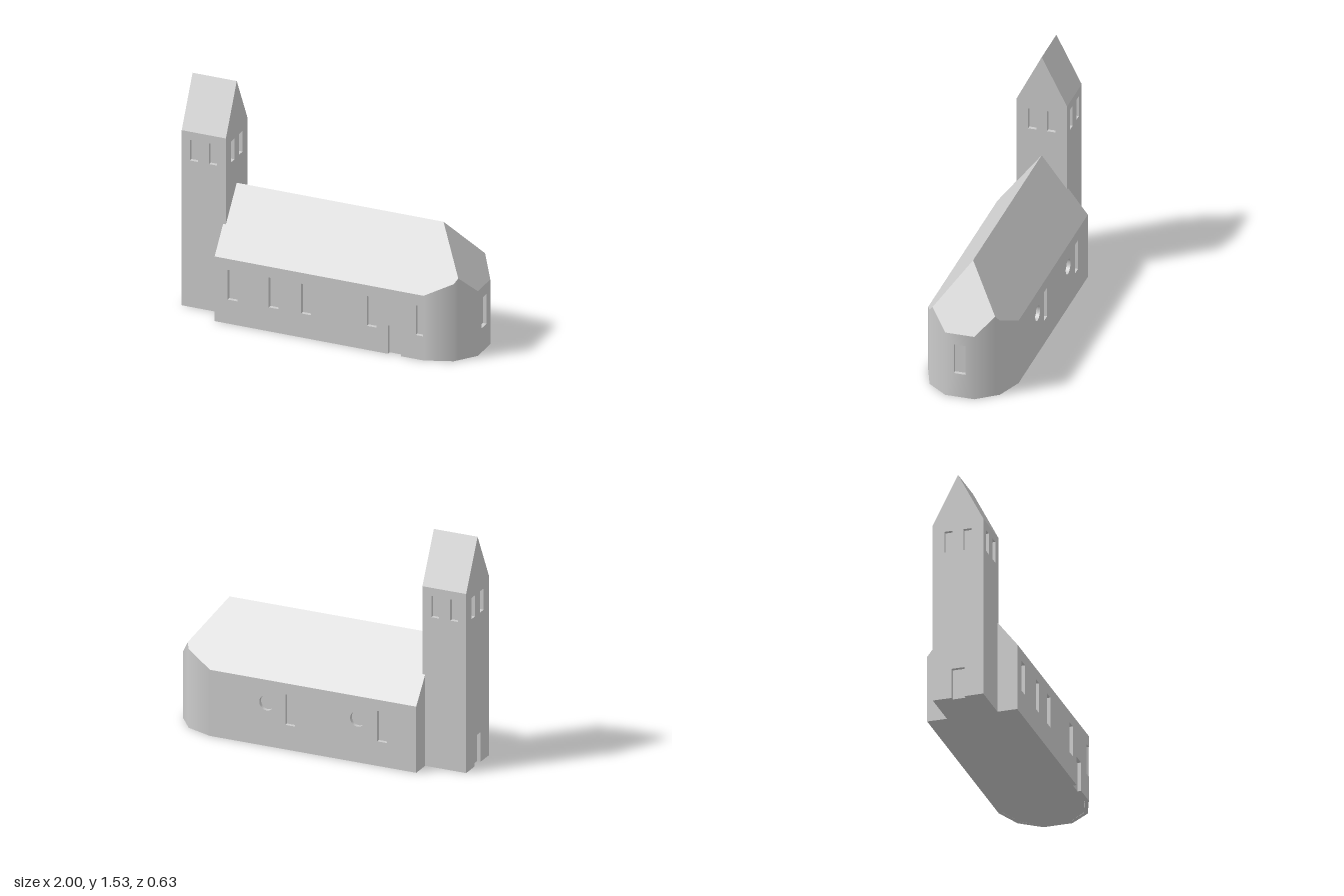
import * as THREE from 'three';

const stone = new THREE.MeshStandardMaterial({ color: 0xcccccc });
stone.name = 'plain stone';
const DEPTH = 0.025; // depth of window and door niches

function addMesh(parent, name, geometry) {
  const m = new THREE.Mesh(geometry, stone);
  m.name = name;
  parent.add(m);
}

function rectPath(PathType, c, w, y0, y1) {
  const p = new PathType();
  p.moveTo(c - w / 2, y0).lineTo(c + w / 2, y0).lineTo(c + w / 2, y1).lineTo(c - w / 2, y1);
  p.closePath();
  return p;
}

// Flat convex polygon in space, corners counter-clockwise from outside
function polygon(points) {
  const v = [];
  for (let i = 1; i < points.length - 1; i++) v.push(...points[0], ...points[i], ...points[i + 1]);
  const g = new THREE.BufferGeometry();
  g.setAttribute('position', new THREE.Float32BufferAttribute(v, 3));
  g.computeVertexNormals();
  return g;
}

// Wall from plan point a to b (outside on the right), with niches, an optional
// door notch, an optional gable apex and optional smooth end normals
function addWall(parent, name, a, b, hA, hB, { apex, niches = [], door, nA, nB } = {}) {
  const len = Math.hypot(b[0] - a[0], b[1] - a[1]);
  const top = [[len, hB], ...(apex ? [[len / 2, apex]] : []), [0, hA]];
  const outline = notch => new THREE.Shape([[0, 0], ...notch, [len, 0], ...top]
    .map(p => new THREE.Vector2(...p)));
  const notch = door ? [
    [door.c - door.w / 2, 0], [door.c - door.w / 2, door.h],
    [door.c + door.w / 2, door.h], [door.c + door.w / 2, 0]] : [];
  const shape = outline(notch);
  for (const n of niches) {
    shape.holes.push(n.r
      ? new THREE.Path().absarc(n.c, n.y, n.r, 0, Math.PI * 2, true)
      : rectPath(THREE.Path, n.c, n.w, n.y0, n.y1));
  }
  const u = new THREE.Vector3(b[0] - a[0], 0, b[1] - a[1]).normalize();
  const up = new THREE.Vector3(0, 1, 0);
  const out = u.clone().cross(up);
  const frame = new THREE.Matrix4().makeBasis(u, up, out).setPosition(a[0], 0, a[1]);

  const panel = new THREE.ExtrudeGeometry(shape, { depth: DEPTH, bevelEnabled: false, curveSegments: 20 });
  panel.translate(0, 0, -DEPTH);
  const t = Array.from({ length: panel.attributes.position.count }, (_, i) =>
    panel.attributes.normal.getZ(i) > 0.9 ? panel.attributes.position.getX(i) / len : -1);
  panel.applyMatrix4(frame);
  if (nA) {
    t.forEach((k, i) => {
      if (k < 0) return;
      const n = nA.clone().lerp(nB, k).normalize();
      panel.attributes.normal.setXYZ(i, n.x, n.y, n.z);
    });
  }
  addMesh(parent, name, panel);

  // Backing plate that closes the niches
  if (door || niches.length) {
    const back = new THREE.ShapeGeometry(outline([]));
    back.translate(0, 0, -DEPTH);
    addMesh(parent, name + 'NicheBack', back.applyMatrix4(frame));
  }
}

function addBase(parent, name, plan) {
  addMesh(parent, name, polygon(plan.map(([x, z]) => [x, 0, z]).reverse()));
}

function buildNave() {
  const nave = new THREE.Group();
  nave.name = 'nave';
  const W = -0.712, E = 0.715, Z = 0.296, EAVE = 0.445, RIDGE = 0.83, HIP = 0.72;
  const tall = c => ({ c, w: 0.067, y0: 0.165, y1: 0.37 });

  // Long walls and the west gable
  addWall(nave, 'frontWall', [W, Z], [E, Z], EAVE, EAVE, {
    niches: [...[-0.589, -0.309, -0.087, 0.361].map(x => tall(x - W)),
      { c: 0.688 - W, w: 0.05, y0: 0.165, y1: 0.37 }],
    door: { c: 0.516 - W, w: 0.09, h: 0.195 },
  });
  addWall(nave, 'backWall', [E, -Z], [W, -Z], EAVE, EAVE, {
    niches: [...[0.16, -0.476].map(x => tall(E - x)),
      ...[0.323, -0.305].map(x => ({ c: E - x, y: 0.29, r: 0.05 }))],
  });
  addWall(nave, 'westGable', [W, -Z], [W, Z], EAVE, EAVE, { apex: RIDGE });

  // Rounded apse; wall tops follow the roof planes
  const half = [[E, Z], [0.893, 0.23], [0.912, 0.205], [0.997, 0.095]];
  const apse = [...half, ...half.map(([x, z]) => [x, -z]).reverse()];
  const slope = (RIDGE - EAVE) / Z, hipSlope = (RIDGE - EAVE) / (0.997 - HIP);
  const topAt = ([x, z]) => Math.min(RIDGE - Math.abs(z) * slope, RIDGE - (x - HIP) * hipSlope);
  const outward = i => new THREE.Vector3(apse[i][1] - apse[i + 1][1], 0, apse[i + 1][0] - apse[i][0])
    .normalize();
  const last = apse.length - 1;
  const normals = apse.map((_, i) => {
    if (i === 0) return new THREE.Vector3(0, 0, 1);
    if (i === last) return new THREE.Vector3(0, 0, -1);
    return outward(i - 1).add(outward(i)).normalize();
  });
  for (let i = 0; i < last; i++) {
    addWall(nave, 'apseWall', apse[i], apse[i + 1], topAt(apse[i]), topAt(apse[i + 1]), {
      nA: normals[i], nB: normals[i + 1],
      niches: i === 3 ? [{ c: 0.095, w: 0.077, y0: 0.165, y1: 0.37 }] : [],
    });
  }

  // Roof slopes and hipped east end
  const p = ([x, z]) => [x, topAt([x, z]), z];
  const slopePoints = [[W, RIDGE, 0], [W, EAVE, Z], [E, EAVE, Z],
    p(half[1]), p(half[2]), [HIP, RIDGE, 0]];
  addMesh(nave, 'frontRoof', polygon(slopePoints));
  addMesh(nave, 'backRoof', polygon(slopePoints.map(([x, y, z]) => [x, y, -z]).reverse()));
  addMesh(nave, 'hipRoof', polygon([[HIP, RIDGE, 0], ...apse.slice(2, 6).map(p)]));

  addBase(nave, 'naveBase', [[W, Z], ...apse, [W, -Z]].map(([x, z]) => [x * 0.975, z * 0.92]));
  return nave;
}

function buildTower() {
  const tower = new THREE.Group();
  tower.name = 'tower';
  const W = -0.995, E = -0.693, Z = 0.166, EAVE = 1.205, RIDGE = 1.53;
  const pair = centers => centers.map(c => ({ c, w: 0.054, y0: 1.007, y1: 1.15 }));
  const xs = [-0.912, -0.782], zs = [Z - 0.062, Z + 0.062];

  addWall(tower, 'towerFront', [W, Z], [E, Z], EAVE, EAVE, { niches: pair(xs.map(x => x - W)) });
  addWall(tower, 'towerBack', [E, -Z], [W, -Z], EAVE, EAVE, { niches: pair(xs.map(x => E - x)) });
  addWall(tower, 'towerEastGable', [E, Z], [E, -Z], EAVE, EAVE, { apex: RIDGE, niches: pair(zs) });
  addWall(tower, 'towerWestGable', [W, -Z], [W, Z], EAVE, EAVE, {
    apex: RIDGE, niches: pair(zs), door: { c: Z, w: 0.085, h: 0.2 },
  });

  // Saddle roof
  const side = [[W, EAVE, Z], [E, EAVE, Z], [E, RIDGE, 0], [W, RIDGE, 0]];
  addMesh(tower, 'towerFrontRoof', polygon(side));
  addMesh(tower, 'towerBackRoof', polygon(side.map(([x, y, z]) => [x, y, -z]).reverse()));

  const i = 0.024;
  addBase(tower, 'towerBase', [[W + i, Z - i], [E - i, Z - i], [E - i, i - Z], [W + i, i - Z]]);
  return tower;
}

export function createModel() {
  const church = new THREE.Group();
  church.name = 'church';
  church.add(buildNave(), buildTower());
  church.rotation.y = 0.03; // slightly skewed ground plan
  return church;
}
